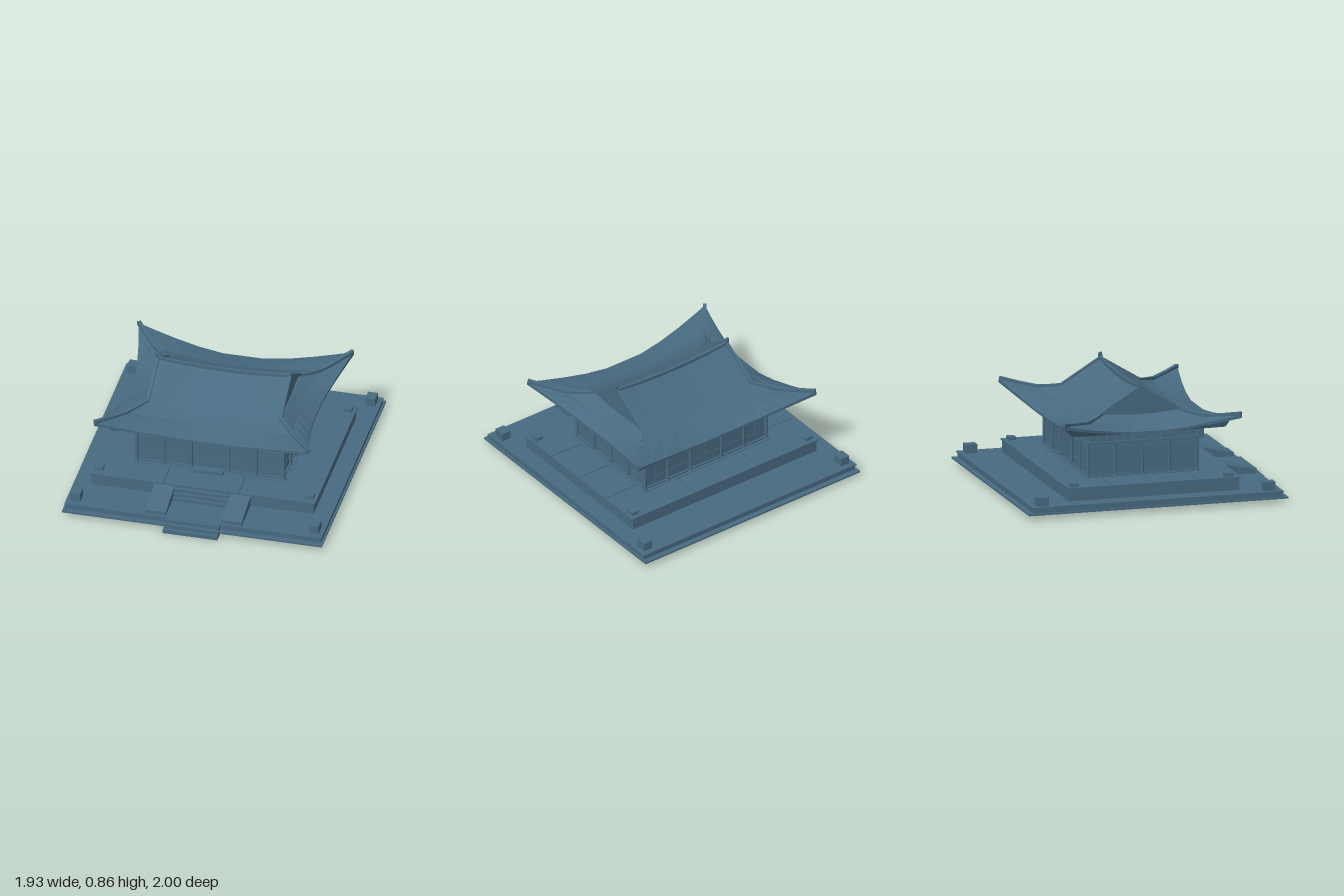
import * as THREE from 'three';

export function createModel() {
  const model = new THREE.Group();
  model.name = 'templeHall';
  const slate = new THREE.MeshStandardMaterial({ color: 0x486a80, side: THREE.DoubleSide, flatShading: true });
  slate.name = 'slate blue';

  const add = (name, geometry, parent = model) => {
    const mesh = new THREE.Mesh(geometry, slate);
    mesh.name = name;
    parent.add(mesh);
    return mesh;
  };
  // Box given by its limits on each axis
  const box = (name, x0, x1, y0, y1, z0, z1, parent) => {
    const m = add(name, new THREE.BoxGeometry(x1 - x0, y1 - y0, z1 - z0), parent);
    m.position.set((x0 + x1) / 2, (y0 + y1) / 2, (z0 + z1) / 2);
    return m;
  };
  // Surface through rows of points of equal length
  const loft = (rows) => {
    const n = rows[0].length, index = [];
    for (let r = 0; r < rows.length - 1; r++) {
      for (let i = 0; i < n - 1; i++) {
        const a = r * n + i, b = a + n;
        index.push(a, b, a + 1, a + 1, b, b + 1);
      }
    }
    const g = new THREE.BufferGeometry();
    g.setAttribute('position', new THREE.Float32BufferAttribute(rows.flat(2), 3));
    g.setIndex(index);
    g.computeVertexNormals();
    return g;
  };
  // Rectangular bar (width w, height h below the path) with closed ends
  const bar = (name, path, w, h, parent) => {
    const rows = path.map(([x, y, z], i) => {
      const p = path[Math.max(i - 1, 0)], q = path[Math.min(i + 1, path.length - 1)];
      const len = Math.hypot(q[0] - p[0], q[2] - p[2]);
      const nx = -(q[2] - p[2]) / len * w / 2, nz = (q[0] - p[0]) / len * w / 2;
      return [[x + nx, y, z + nz], [x - nx, y, z - nz], [x - nx, y - h, z - nz], [x + nx, y - h, z + nz], [x + nx, y, z + nz]];
    });
    const cap = ([x, y, z]) => Array(5).fill([x, y - h / 2, z]);
    return add(name, loft([cap(path[0]), ...rows, cap(path[path.length - 1])]), parent);
  };

  // Stepped stone terraces
  box('groundSlab', -0.965, 0.965, 0.03, 0.042, -1, 0.955);
  box('lowerTerrace', -0.95, 0.95, 0.042, 0.076, -0.96, 0.915);
  box('lowerTerraceCap', -0.955, 0.955, 0.076, 0.086, -0.968, 0.922);
  box('upperTerrace', -0.825, 0.825, 0.086, 0.175, -0.66, 0.627);

  // Paving slabs with narrow joints
  const xs = [-0.838, -0.29, 0.27, 0.838], zs = [-0.668, -0.34, -0.02, 0.31, 0.637];
  for (let i = 0; i < 3; i++) {
    for (let j = 0; j < 4; j++) {
      box('pavingSlab', xs[i] + (i ? 0.003 : 0), xs[i + 1] - (i < 2 ? 0.003 : 0), 0.175, 0.185,
        zs[j] + (j ? 0.003 : 0), zs[j + 1] - (j < 3 ? 0.003 : 0));
    }
  }

  // Corner stones, ramps and footings on both sides
  for (const s of [-1, 1]) {
    const pair = (name, a, b, ...rest) => box(name, Math.min(s * a, s * b), Math.max(s * a, s * b), ...rest);
    pair('lowerCornerStone', 0.85, 0.922, 0.086, 0.15, -0.925, -0.84);
    pair('lowerCornerStone', 0.85, 0.922, 0.086, 0.15, 0.785, 0.87);
    pair('upperCornerStone', 0.752, 0.812, 0.185, 0.21, -0.635, -0.578);
    pair('upperCornerStone', 0.752, 0.812, 0.185, 0.21, 0.525, 0.59);
    pair('rampFooting', 0.2, 0.282, 0.004, 0.03, 0.53, 0.88);
    const wedge = new THREE.Shape([[-0.627, 0.086], [-0.9, 0.086], [-0.9, 0.114], [-0.627, 0.172]].map(p => new THREE.Vector2(...p)));
    const ramp = add('stairRamp', new THREE.ExtrudeGeometry(wedge, { depth: 0.15, bevelEnabled: false }));
    ramp.rotation.y = Math.PI / 2;
    ramp.position.x = s > 0 ? 0.207 : -0.357;
  }

  // Stairs
  [[0, 0.03, 1], [0.03, 0.056, 0.972], [0.056, 0.084, 0.947]].forEach(([a, b, z]) => box('lowerStep', -0.205, 0.2, a, b, 0.9, z));
  [[0.086, 0.11, 0.7], [0.11, 0.135, 0.675], [0.135, 0.16, 0.655]].forEach(([a, b, z]) => box('upperStep', -0.205, 0.2, a, b, 0.62, z));

  // Hall, centred slightly behind the middle
  const hall = new THREE.Group();
  hall.name = 'hall';
  hall.position.z = -0.02;
  model.add(hall);
  box('hallPlinth', -0.57, 0.57, 0.185, 0.19, -0.435, 0.435, hall);
  box('hallWalls', -0.535, 0.535, 0.19, 0.44, -0.4, 0.4, hall);
  box('bracketFrieze', -0.54, 0.54, 0.44, 0.53, -0.405, 0.405, hall);
  box('doorStep', -0.11, 0.105, 0.185, 0.21, 0.42, 0.47, hall);

  // One facade: columns, beams, door leaves and stacked eave brackets
  const facade = (angle, half, depth, cols, brackets) => {
    const g = new THREE.Group();
    g.name = 'facade';
    g.rotation.y = angle;
    hall.add(g);
    box('sillBeam', -half, half, 0.19, 0.203, depth - 0.01, depth + 0.004, g);
    box('doorLintel', -half, half, 0.4, 0.41, depth - 0.01, depth + 0.002, g);
    box('topBeam', -half - 0.012, half + 0.012, 0.425, 0.442, depth - 0.015, depth + 0.012, g);
    cols.forEach((x, i) => {
      add('column', new THREE.CylinderGeometry(0.01, 0.011, 0.24, 12), g).position.set(x, 0.307, depth);
      add('columnBase', new THREE.CylinderGeometry(0.015, 0.019, 0.012, 12), g).position.set(x, 0.192, depth);
      if (i === cols.length - 1) return;
      const w = (cols[i + 1] - x - 0.03) / 2;
      for (let k = 0; k < 2; k++) {
        const a = x + 0.014 + k * (w + 0.002);
        box('doorLeaf', a, a + w, 0.21, 0.395, depth - 0.015, depth - 0.006, g);
        box('doorRail', a, a + w, 0.265, 0.272, depth - 0.01, depth - 0.002, g);
      }
    });
    for (let i = 0; i <= brackets; i++) {
      const x = -half + 2 * half * i / brackets;
      for (let k = 0; k < 4; k++) {
        box('eaveBracket', x - 0.006, x + 0.006, 0.447 + k * 0.018, 0.458 + k * 0.018, depth - 0.02, depth + 0.012 + k * 0.009, g);
      }
    }
  };
  const longCols = [-0.548, -0.343, -0.14, 0.14, 0.343, 0.548], shortCols = [-0.412, -0.206, 0, 0.206, 0.412];
  for (const turn of [0, Math.PI]) {
    facade(turn, 0.545, 0.41, longCols, 16);
    facade(turn + Math.PI / 2, 0.41, 0.545, shortCols, 12);
  }

  // Roof: each slope is rows of [half width, depth mid, depth end, y mid, y end]
  const roof = new THREE.Group();
  roof.name = 'roof';
  roof.position.z = -0.02;
  model.add(roof);
  const steps = [-1, -0.85, -0.65, -0.42, -0.19, 0.19, 0.42, 0.65, 0.85, 1];
  const lift = u => Math.pow((Math.abs(u) - 0.19) / 0.81, 1.35);
  const slope = (name, rows, angle) => {
    const pts = rows.map(([half, d0, d1, y0, y1]) => steps.map(u => {
      const c = lift(u);
      return [half * u, y0 + (y1 - y0) * c, d0 + (d1 - d0) * c];
    }));
    add(name, loft(pts), roof).rotation.y = angle;
  };
  const longSlope = [
    [0.5, 0, 0, 0.785, 0.815], [0.5, 0.3, 0.3, 0.608, 0.632], [0.62, 0.39, 0.44, 0.572, 0.598],
    [0.8, 0.58, 0.675, 0.535, 0.635], [0.8, 0.58, 0.675, 0.52, 0.61],
    [0.725, 0.53, 0.605, 0.524, 0.58], [0.7, 0.52, 0.58, 0.51, 0.53], [0.56, 0.43, 0.43, 0.518, 0.518]];
  const shortSlope = [
    [0.3, 0.47, 0.47, 0.618, 0.632], [0.3, 0.5, 0.5, 0.612, 0.632], [0.44, 0.575, 0.62, 0.577, 0.598],
    [0.675, 0.695, 0.8, 0.535, 0.635], [0.675, 0.695, 0.8, 0.52, 0.61],
    [0.605, 0.645, 0.725, 0.524, 0.58], [0.58, 0.635, 0.7, 0.51, 0.53], [0.43, 0.56, 0.56, 0.518, 0.518]];
  for (const turn of [0, Math.PI]) {
    slope('longRoofSlope', longSlope, turn);
    slope('shortRoofSlope', shortSlope, turn + Math.PI / 2);
  }

  // Main ridge with upturned ends
  bar('mainRidge', [-0.5, -0.35, -0.18, 0, 0.18, 0.35, 0.5].map(x => [x, 0.803 + 0.1 * x * x, 0]), 0.022, 0.034, roof);

  // Gables, finials and descending ridges
  for (const sx of [-1, 1]) {
    add('gableWall', loft([[[sx * 0.485, 0.82, 0], [sx * 0.485, 0.82, 0]], [[sx * 0.485, 0.61, 0.31], [sx * 0.485, 0.61, -0.31]]]), roof);
    const fx = sx * 0.496;
    box('ridgeFinial', fx - 0.01, fx + 0.01, 0.79, 0.842, -0.013, 0.013, roof);
    box('finialTip', fx + sx * 0.004 - 0.008, fx + sx * 0.004 + 0.008, 0.838, 0.855, -0.01, 0.01, roof);
    for (const sz of [-1, 1]) {
      bar('gableRidge', [[sx * 0.492, 0.828, 0], [sx * 0.492, 0.645, sz * 0.3]], 0.024, 0.025, roof);
      bar('hipRidge', [[0.495, 0.645, 0.292], [0.56, 0.628, 0.368], [0.625, 0.617, 0.446], [0.71, 0.633, 0.558], [0.795, 0.655, 0.67]]
        .map(([x, y, z]) => [sx * x, y, sz * z]), 0.028, 0.03, roof);
    }
  }
  return model;
}
